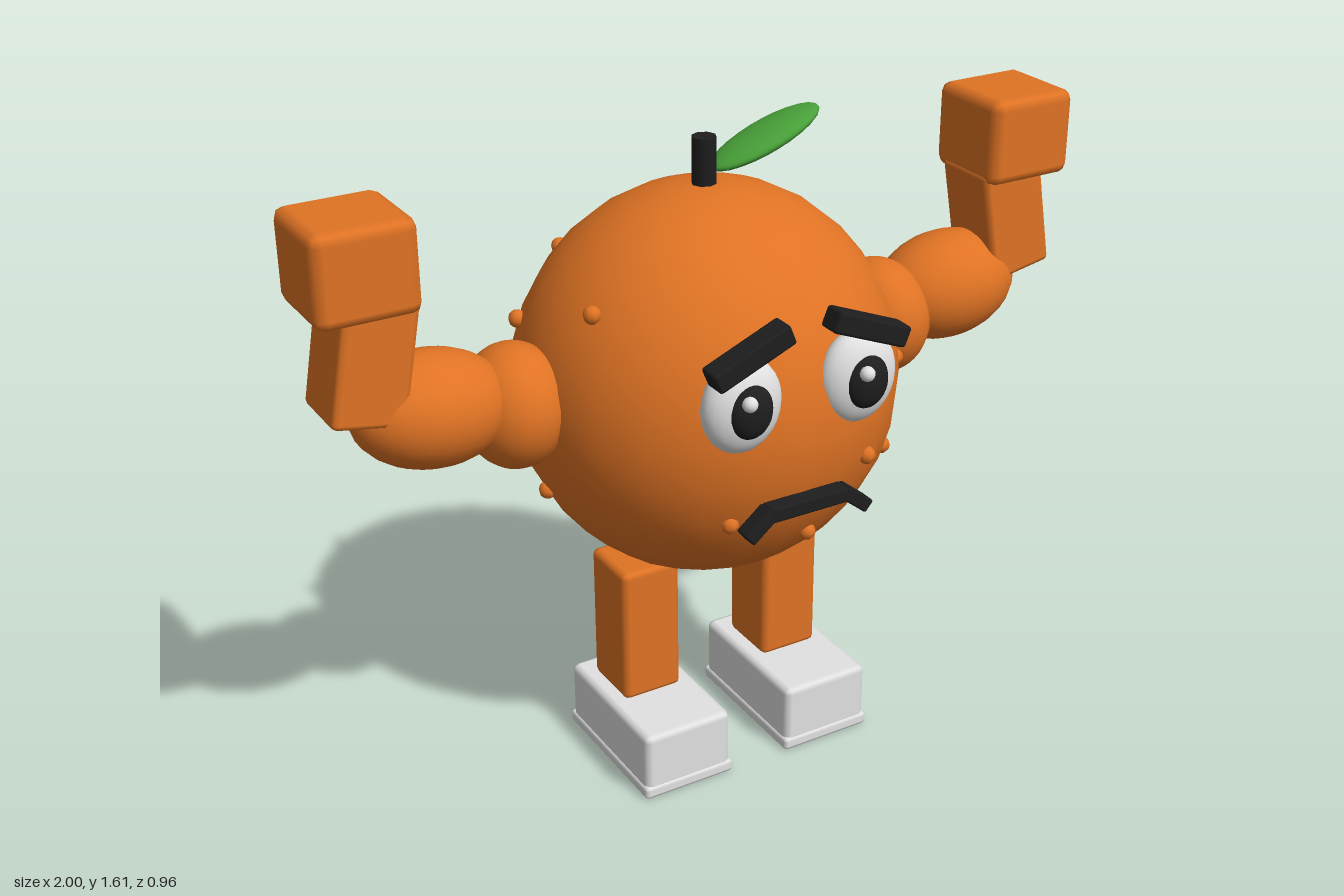
import * as THREE from 'three';
import { RoundedBoxGeometry } from 'three/addons/geometries/RoundedBoxGeometry.js';

const Z = -0.03; // depth of the body's centre

function material(name, color) {
  const m = new THREE.MeshStandardMaterial({ color });
  m.name = name;
  return m;
}

export function createModel() {
  const root = new THREE.Group();
  root.name = 'fruitCharacter';
  const orange = material('orange', 0xe07324);
  const black = material('black', 0x1e1e1e);
  const white = material('white', 0xe2e2e2);
  const green = material('leafGreen', 0x48a038);

  function add(name, geometry, mat, pos, tilt = 0) {
    const mesh = new THREE.Mesh(geometry, mat);
    mesh.name = name;
    mesh.position.set(...pos);
    mesh.rotation.z = tilt;
    root.add(mesh);
    return mesh;
  }
  const block = (name, size, bevel, mat, pos, tilt) =>
    add(name, new RoundedBoxGeometry(...size, 1, bevel), mat, pos, tilt);
  const ball = (name, radii, mat, pos, tilt, w = 24, h = 16) =>
    add(name, new THREE.SphereGeometry(1, w, h).scale(...radii), mat, pos, tilt);

  // Round body with stem and leaf
  ball('body', [0.477, 0.486, 0.452], orange, [0, 0.983, Z]);
  add('stem', new THREE.CylinderGeometry(0.03, 0.03, 0.14, 8), black, [0, 1.51, -0.035]);
  ball('leaf', [0.155, 0.026, 0.068], green, [0.165, 1.55, -0.035], 0.36);

  // Peel bumps
  const bumps = [
    [0.205, 0.88, 0.365], [0.37, 0.79, 0.195], [0.065, 0.7, 0.33], [0.465, 0.97, 0.105],
    [-0.16, 0.79, 0.35], [-0.43, 0.775, -0.04], [-0.37, 1.265, 0.1], [0.1, 1.16, -0.44],
    [0.235, 0.98, -0.42], [0.415, 1.065, -0.25], [0.45, 0.885, -0.135], [-0.15, 1.07, -0.455],
    [-0.225, 1.25, -0.345], [-0.41, 1.15, -0.21],
  ];
  for (const p of bumps) ball('peelBump', [0.022, 0.022, 0.022], orange, p, 0, 8, 6);

  for (const s of [1, -1]) {
    // Raised arm
    ball('shoulder', [0.125, 0.15, 0.146], orange, [s * 0.51, 1.022, -0.035], s * 0.1);
    ball('upperArm', [0.195, 0.138, 0.14], orange, [s * 0.715, 1.065, -0.035], s * 0.1);
    block('forearm', [0.177, 0.3, 0.18], 0.015, orange, [s * 0.866, 1.24, -0.03], s * 0.18);
    block('fist', [0.245, 0.22, 0.24], 0.028, orange, [s * 0.877, 1.455, -0.035]);

    // Leg and shoe
    block('leg', [0.16, 0.365, 0.17], 0.017, orange, [s * 0.203, 0.353, Z]);
    block('shoe', [0.24, 0.165, 0.4], 0.017, white, [s * 0.203, 0.095, 0.033]);
    block('sole', [0.25, 0.034, 0.41], 0.01, white, [s * 0.203, 0.017, 0.033]);

    // Eye and worried brow
    const x = s * 0.154;
    ball('eyeWhite', [0.1, 0.115, 0.056], white, [x, 1.108, 0.385]);
    ball('pupil', [0.055, 0.066, 0.033], black, [x, 1.108, 0.425]);
    ball('eyeGlint', [0.018, 0.018, 0.018], white, [x - 0.023, 1.145, 0.46], 0, 12, 8);
    block('eyebrow', [0.21, 0.052, 0.06], 0.008, black, [x, 1.24, 0.418], -s * 0.39);

    // Downturned corner of the mouth
    block('mouthCorner', [0.085, 0.034, 0.046], 0.005, black, [s * 0.13, 0.817, 0.422], -s * 0.68);
  }
  block('mouth', [0.21, 0.036, 0.046], 0.005, black, [0, 0.838, 0.422]);

  return root;
}
